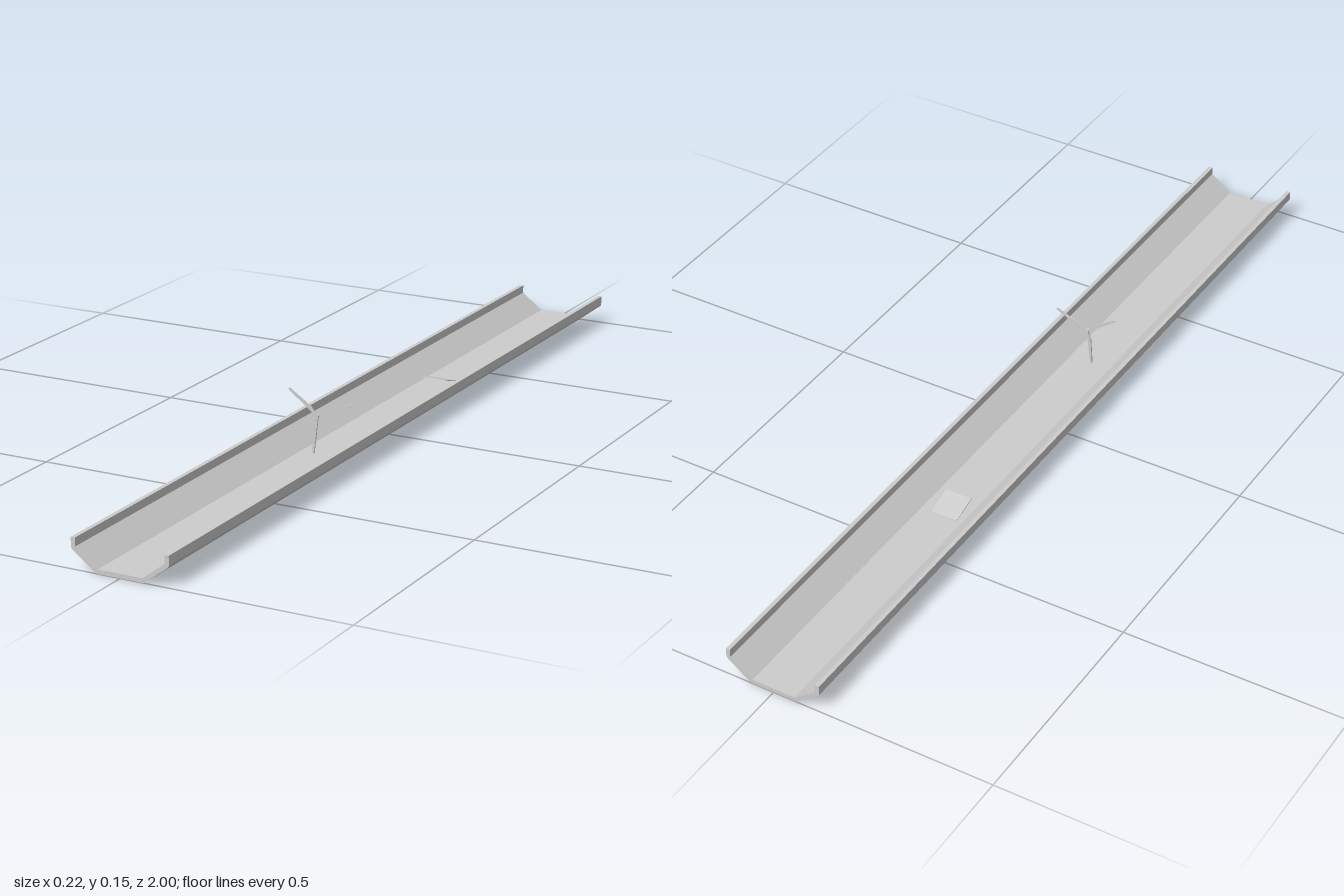
import * as THREE from 'three';

export function createModel() {
  const model = new THREE.Group();
  const grey = new THREE.MeshStandardMaterial({ color: 0xcccccc });
  grey.name = 'light grey';

  const add = (parent, name, geometry) => {
    const mesh = new THREE.Mesh(geometry, grey);
    mesh.name = name;
    parent.add(mesh);
    return mesh;
  };

  // Channel: sharp inner corners, outer bends rounded about them by the wall thickness
  const wall = 0.0095, top = 0.065;
  const floorX = 0.0495, rimX = 0.0995, rimY = 0.047;
  const slope = Math.atan2(rimY - wall, rimX - floorX);
  const down = -Math.PI / 2;
  const profile = new THREE.Shape();
  profile.moveTo(-rimX, top);
  profile.lineTo(-rimX - wall, top);
  profile.absarc(-rimX, rimY, wall, Math.PI, Math.PI * 1.5 - slope, false);
  profile.absarc(-floorX, wall, wall, Math.PI * 1.5 - slope, Math.PI * 1.5, false);
  profile.absarc(floorX, wall, wall, down, down + slope, false);
  profile.absarc(rimX, rimY, wall, down + slope, 0, false);
  profile.lineTo(rimX + wall, top);
  profile.lineTo(rimX, top);
  profile.lineTo(rimX, rimY);
  profile.lineTo(floorX, wall);
  profile.lineTo(-floorX, wall);
  profile.lineTo(-rimX, rimY);
  const channel = new THREE.ExtrudeGeometry(profile, { depth: 2, bevelEnabled: false, curveSegments: 6 });
  add(model, 'channel', channel.translate(0, 0, -1));

  // Thin ramp plate rising from the floor towards the front
  const rise = 0.018, run = 0.06;
  const ramp = add(model, 'ramp', new THREE.BoxGeometry(0.062, 0.0015, Math.hypot(rise, run)));
  ramp.position.set(-0.006, 0.0185, -0.355);
  ramp.rotation.x = -Math.atan2(rise, run);

  // Three-bladed rotor
  const rotor = new THREE.Group();
  rotor.name = 'rotor';
  rotor.position.set(0.002, 0.1, 0.229);
  model.add(rotor);
  add(rotor, 'hub', new THREE.CylinderGeometry(0.004, 0.004, 0.01, 16).rotateX(Math.PI / 2));

  const outline = new THREE.Shape([
    [0, 0.002], [0, -0.002], [0.012, -0.003], [0.022, -0.006],
    [0.083, -0.0025], [0.086, 0], [0.083, 0.002],
  ].map(([x, y]) => new THREE.Vector2(x, y)));
  const bladeGeometry = new THREE.ExtrudeGeometry(outline, { depth: 0.003, bevelEnabled: false });
  bladeGeometry.translate(0, 0, -0.0015);
  for (let i = 0; i < 3; i++) {
    const blade = add(rotor, 'blade', bladeGeometry);
    blade.rotation.z = THREE.MathUtils.degToRad(23 + i * 120);
  }
  return model;
}
